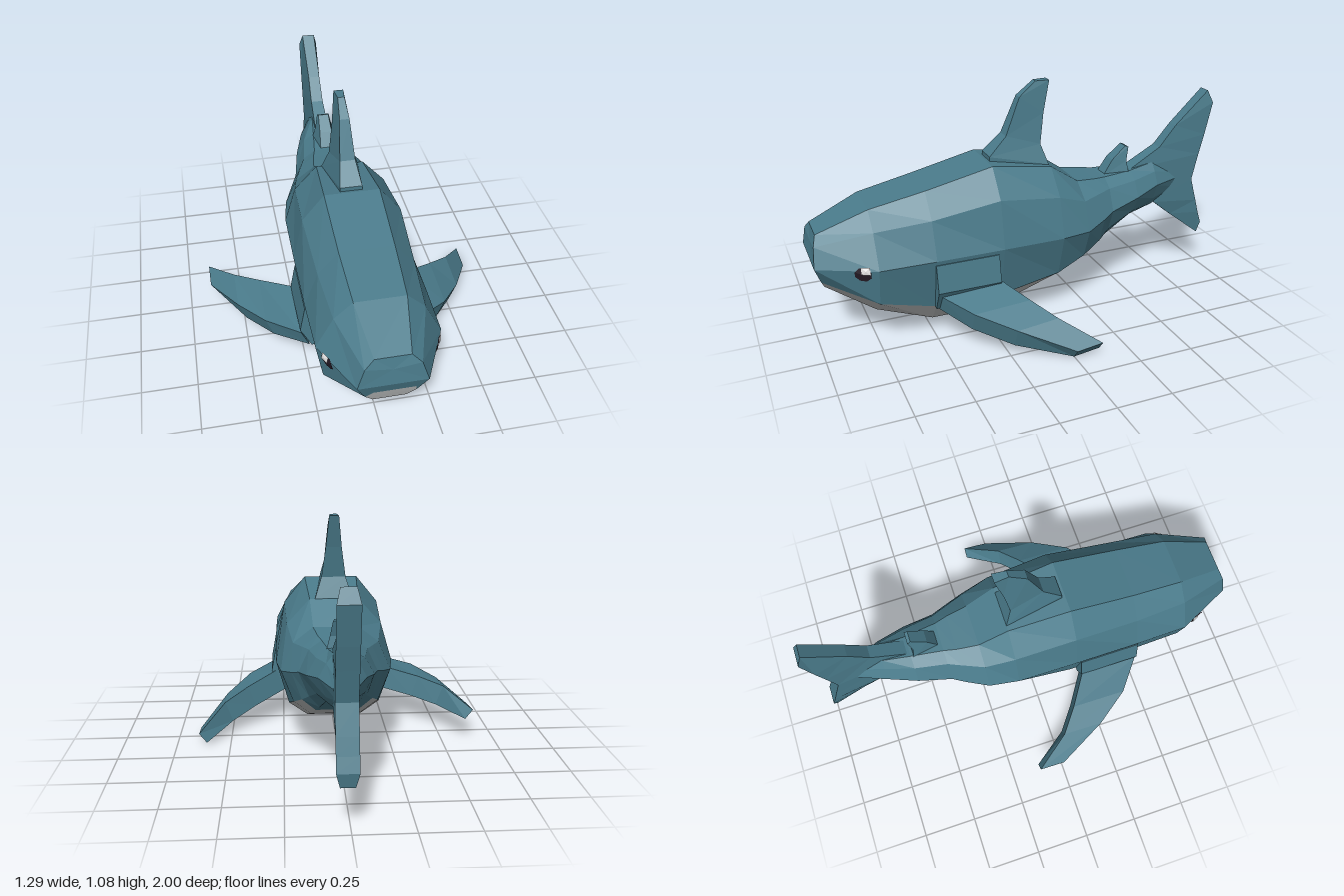
import * as THREE from 'three';

const paint = (name, color) => {
  const m = new THREE.MeshStandardMaterial({ color });
  m.name = name;
  return m;
};

// Flat-faced mesh from a list of triangle corners
function facets(name, corners, material) {
  const g = new THREE.BufferGeometry();
  g.setAttribute('position', new THREE.Float32BufferAttribute(corners.flat(), 3));
  g.computeVertexNormals();
  const mesh = new THREE.Mesh(g, material);
  mesh.name = name;
  return mesh;
}

const centre = (pts) => [0, 1, 2].map((k) => pts.reduce((s, p) => s + p[k], 0) / pts.length);

// Fan closing a loop around a hub; flip turns it to face the other way
function fan(loop, flip, hub = centre(loop)) {
  return loop.flatMap((p, j) => {
    const q = loop[(j + 1) % loop.length];
    return flip ? [hub, q, p] : [hub, p, q];
  });
}

// Side quad j between two neighbouring loops
function quad(a, b, j) {
  const k = (j + 1) % a.length;
  return [a[j], a[k], b[k], a[j], b[k], b[j]];
}

// Closed skin over loops that run clockwise seen from the first end
function loft(loops) {
  const out = [...fan(loops[0], true), ...fan(loops[loops.length - 1], false)];
  for (let i = 0; i + 1 < loops.length; i++)
    for (let j = 0; j < loops[i].length; j++) out.push(...quad(loops[i], loops[i + 1], j));
  return out;
}

// Upright fin sections from the tip down: lead z, y, half width, trail z, y, half width
const uprightFin = (rows) => loft(rows.map(([lz, ly, lw, tz, ty, tw]) => [
  [-tw, ty, tz], [tw, ty, tz], [lw, ly, lz], [-lw, ly, lz]]));

// Body sections: z, then half width and height of top, shoulder, side, lower side, belly
const SECTIONS = [
  [0.975, 0.075, 0.528, 0.115, 0.49, 0.145, 0.40, 0.105, 0.315, 0.07, 0.275],
  [0.75, 0.11, 0.62, 0.19, 0.545, 0.265, 0.40, 0.235, 0.23, 0.14, 0.155],
  [0.5, 0.12, 0.67, 0.21, 0.565, 0.27, 0.40, 0.225, 0.16, 0.155, 0.065],
  [0.19, 0.125, 0.74, 0.225, 0.615, 0.27, 0.40, 0.225, 0.155, 0.155, 0.065],
  [-0.1, 0.11, 0.695, 0.215, 0.58, 0.267, 0.40, 0.21, 0.20, 0.125, 0.14],
  [-0.24, 0.10, 0.60, 0.19, 0.53, 0.245, 0.40, 0.19, 0.255, 0.11, 0.195],
  [-0.34, 0.085, 0.59, 0.15, 0.54, 0.20, 0.425, 0.155, 0.30, 0.095, 0.25],
  [-0.4, 0.07, 0.585, 0.125, 0.545, 0.17, 0.445, 0.125, 0.335, 0.08, 0.285],
  [-0.55, 0.05, 0.59, 0.10, 0.555, 0.14, 0.48, 0.10, 0.40, 0.06, 0.365],
  [-0.68, 0.035, 0.61, 0.065, 0.57, 0.097, 0.51, 0.065, 0.43, 0.04, 0.39],
  [-0.81, 0.02, 0.56, 0.03, 0.54, 0.045, 0.508, 0.03, 0.46, 0.02, 0.44],
];
const NOSE_LEAN = [0, 0.015, 0.025, -0.005, -0.02];

const halfLoop = (row, i) => [0, 1, 2, 3, 4].map((k) =>
  [row[1 + 2 * k], row[2 + 2 * k], row[0] + (i === 0 ? NOSE_LEAN[k] : 0)]);

function bodyLoops() {
  return SECTIONS.map((row, i) => {
    const half = halfLoop(row, i);
    return [...half, ...half.map(([x, y, z]) => [-x, y, z]).reverse()];
  });
}

// Point on the head beside the eye: t runs to the nose, s down (+) or up (-) from the side edge
function headPoint(side, s, t, lift) {
  const at = (i) => {
    const h = halfLoop(SECTIONS[i], i), a = h[2], b = s < 0 ? h[1] : h[3];
    return a.map((v, k) => v + (b[k] - v) * Math.abs(s));
  };
  const back = at(1), nose = at(0);
  const p = back.map((v, k) => v + (nose[k] - v) * t);
  return [side * (p[0] + lift), p[1], p[2] + lift * 0.4];
}

function eyePatch(name, side, s0, t0, rs, rt, sides, lift, material) {
  const loop = [];
  for (let i = 0; i < sides; i++) {
    const a = ((i + 0.5) / sides) * Math.PI * 2;
    loop.push(headPoint(side, s0 + rs * Math.sin(a), t0 + rt * Math.cos(a), lift));
  }
  return facets(name, fan(loop, side < 0, headPoint(side, s0, t0, lift)), material);
}

export function createModel() {
  const teal = paint('teal skin', 0x4a7b8b);
  const grey = paint('grey belly', 0xc0c2c2);
  const dark = paint('dark eye', 0x261b26);
  const white = paint('eye glint', 0xf0eeee);
  dark.side = white.side = THREE.DoubleSide;

  const model = new THREE.Group();
  model.name = 'shark';
  const trunk = new THREE.Group();
  trunk.name = 'trunk';
  trunk.position.x = 0.013;
  model.add(trunk);

  // Body skin, with the underside strips in grey as far as the rear belly
  const loops = bodyLoops();
  const back = [], belly = [];
  for (let i = 0; i + 1 < loops.length; i++)
    for (let j = 0; j < 10; j++)
      (i < 6 && j >= 3 && j <= 5 ? belly : back).push(...quad(loops[i], loops[i + 1], j));

  // Snout: teal above, pale lip below
  const n = loops[0];
  const lipRight = [-0.075, 0.345, 0.9806], lipLeft = [0.1, 0.345, 0.9806];
  back.push(...fan([n[0], n[1], n[2], n[7], n[8], n[9]], true));
  back.push(n[2], n[7], lipRight, n[2], lipRight, lipLeft);
  back.push(n[7], n[6], lipRight, n[2], lipLeft, n[3]);
  belly.push(lipLeft, lipRight, n[6], lipLeft, n[6], n[3]);
  belly.push(n[3], n[6], n[5], n[3], n[5], n[4]);
  back.push(...fan(loops[loops.length - 1], false));
  trunk.add(facets('body', back, teal), facets('belly', belly, grey));

  // Fins along the back and the tail
  trunk.add(facets('dorsalFin', uprightFin([
    [-0.06, 1.075, 0.015, -0.125, 1.075, 0.022],
    [0.02, 1.01, 0.022, -0.092, 0.93, 0.036],
    [0.09, 0.84, 0.035, -0.07, 0.79, 0.055],
    [0.175, 0.757, 0.05, -0.1, 0.697, 0.085],
    [0.175, 0.66, 0.05, -0.1, 0.63, 0.085],
  ]), teal));
  trunk.add(facets('rearDorsalFin', uprightFin([
    [-0.53, 0.71, 0.025, -0.545, 0.705, 0.03],
    [-0.46, 0.65, 0.03, -0.53, 0.64, 0.042],
    [-0.41, 0.575, 0.035, -0.54, 0.57, 0.06],
  ]), teal));
  trunk.add(facets('tailFin', uprightFin([
    [-0.975, 0.94, 0.03, -1, 0.88, 0.045],
    [-0.805, 0.78, 0.028, -0.965, 0.72, 0.045],
    [-0.72, 0.68, 0.03, -0.94, 0.62, 0.045],
    [-0.55, 0.585, 0.035, -0.91, 0.49, 0.045],
    [-0.70, 0.395, 0.04, -0.945, 0.37, 0.045],
    [-0.805, 0.31, 0.03, -0.965, 0.30, 0.045],
    [-0.975, 0.18, 0.03, -0.985, 0.24, 0.045],
  ]), teal));

  for (const side of [1, -1]) {
    const label = side > 0 ? 'left' : 'right';

    // Root pad joining the side fin to the body
    const pad = [[0.18, 0.39], [0.27, 0.38], [0.293, 0.255], [0.243, 0.157], [0.18, 0.17]];
    const padLoops = [0.505, 0.215].map((z) => {
      const loop = pad.map(([x, y]) => [side * x, y, z]);
      return side > 0 ? loop : loop.reverse();
    });
    trunk.add(facets(label + 'FinRoot', loft(padLoops), teal));

    // Side fin from tip to root: x, lead z, trail z, top heights, bottom heights
    const rows = [
      [0.645, 0, -0.12, 0.045, 0.06, 0, 0.015],
      [0.53, 0.23, 0.04, 0.135, 0.155, 0.045, 0.06],
      [0.42, 0.385, 0.125, 0.19, 0.205, 0.1, 0.105],
      [0.275, 0.5, 0.22, 0.235, 0.26, 0.157, 0.157],
    ];
    const finLoops = rows.map(([x, lz, tz, lt, tt, lb, tb]) => {
      const lift = side > 0 ? 0 : 0.09 * (x - 0.275) / 0.37;
      const low = side * (x - 0.035);
      const loop = [[side * x, lt + lift, lz], [side * x, tt + lift, tz],
        [low, tb + lift, tz], [low, lb + lift, lz]];
      return side > 0 ? loop : loop.reverse();
    });
    model.add(facets(label + 'SideFin', loft(finLoops), teal));

    // Eye with a small glint, the right one slightly further forward
    const shift = side > 0 ? 0 : 0.05;
    trunk.add(eyePatch(label + 'Eye', side, 0.11, 0.25 + shift, 0.23, 0.14, 8, 0.005, dark));
    trunk.add(eyePatch(label + 'EyeGlint', side, -0.02, 0.2 + shift, 0.16, 0.1, 4, 0.009, white));
  }
  return model;
}
